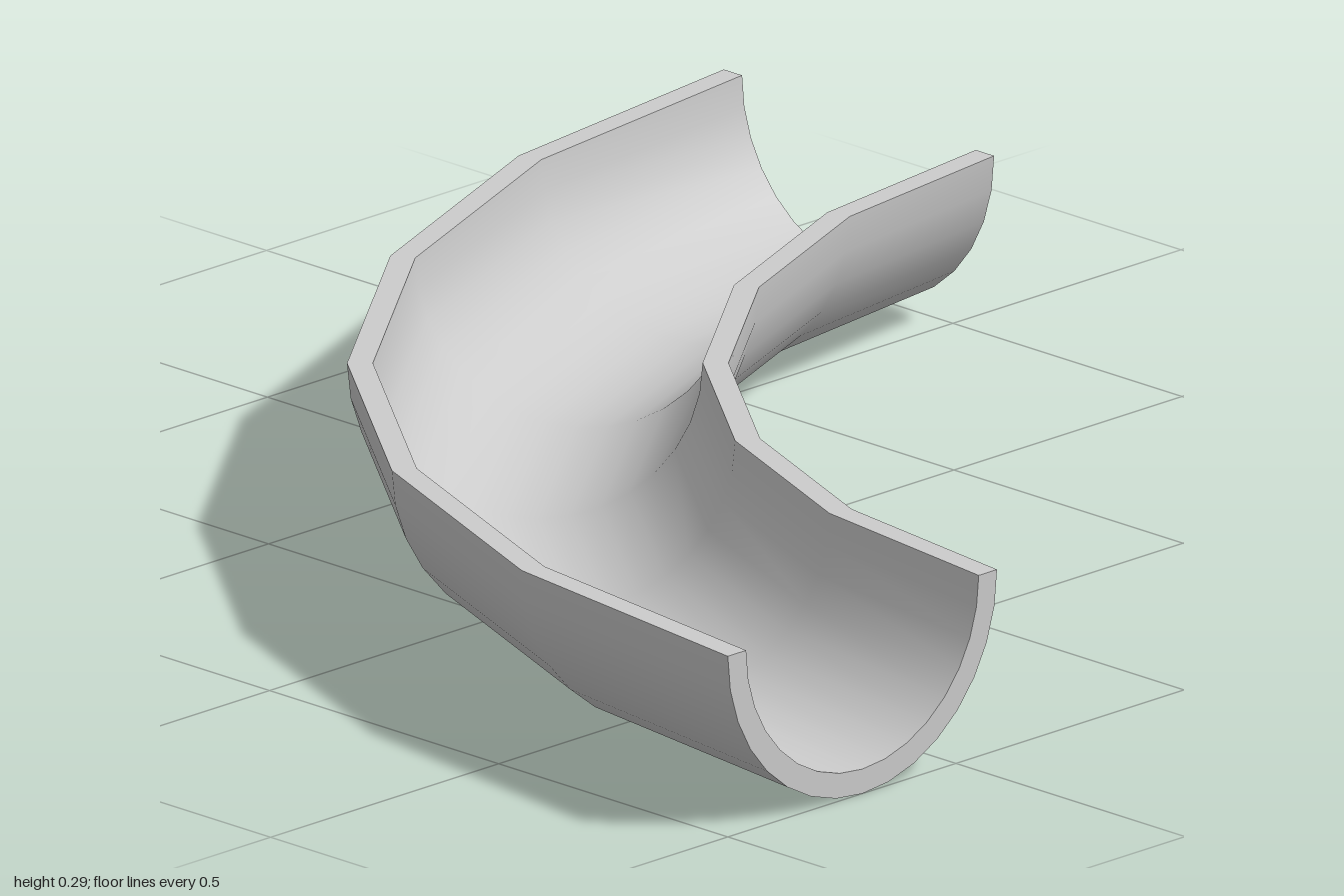
import * as THREE from 'three';

const BEND = 1.705;   // bend radius to the channel's centre line
const OUTER = 0.295;  // outer radius of the half pipe
const INNER = 0.255;  // inner radius of the half pipe
const SIDES = 16;     // facets across the half pipe
const STEPS = 6;      // facets along the quarter bend

export function createModel() {
  const group = new THREE.Group();
  group.name = 'curvedHalfPipe';
  const material = new THREE.MeshStandardMaterial({ color: 0xcccccc });

  const add = (name, geometry, x, y, z) => {
    const mesh = new THREE.Mesh(geometry, material);
    mesh.name = name;
    mesh.position.set(x, y, z);
    group.add(mesh);
    return mesh;
  };

  // Sweeps a profile through the quarter turn about the corner (1, 1)
  const sweep = (name, points) =>
    add(name, new THREE.LatheGeometry(points, STEPS, Math.PI, Math.PI / 2), 1, 0, 1);

  // Lower half circle, from the inside of the bend to the outside
  const arc = (radius) => Array.from({ length: SIDES + 1 }, (_, i) => {
    const a = Math.PI * (1 + i / SIDES);
    return new THREE.Vector2(BEND + radius * Math.cos(a), OUTER + radius * Math.sin(a));
  });
  const outer = arc(OUTER);
  const inner = arc(INNER).reverse();

  // Channel walls and the two flat rims
  sweep('outerWall', outer);
  sweep('innerWall', inner);
  sweep('outerRim', [outer[SIDES], inner[0]]);
  sweep('innerRim', [inner[SIDES], outer[0]]);

  // Half-ring faces closing the wall thickness at both ends
  const section = new THREE.Shape([...outer, ...inner].map(
    (p) => new THREE.Vector2(p.x - BEND, p.y)));
  const cap = new THREE.ShapeGeometry(section);
  add('frontEnd', cap, 1 - BEND, 0, 1);
  add('leftEnd', cap, 1, 0, 1 - BEND).rotation.y = Math.PI / 2;

  return group;
}
